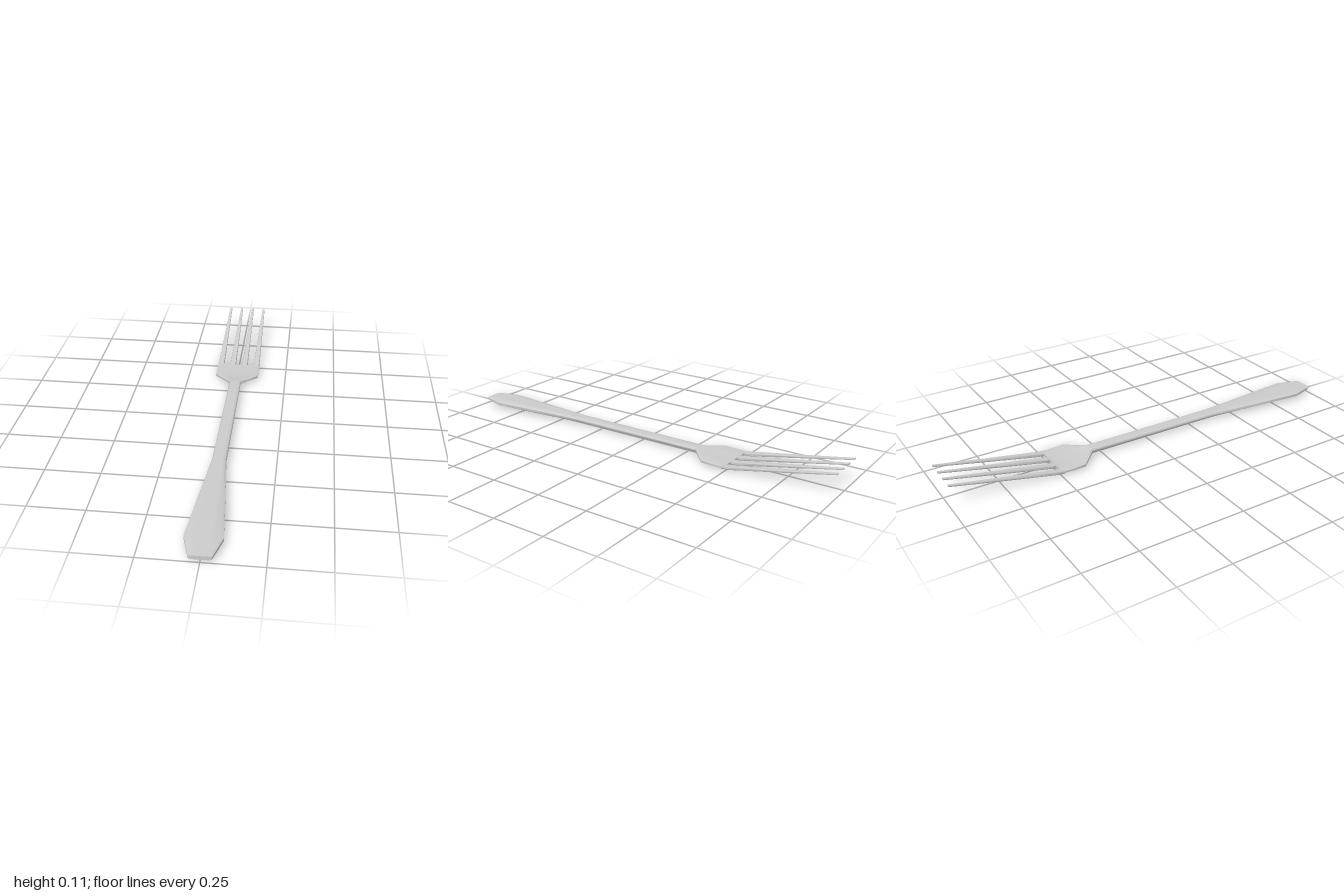
import * as THREE from 'three';
import { toCreasedNormals } from 'three/addons/utils/BufferGeometryUtils.js';

// Bevelled cross-section outline: x as a fraction of half width, y as a fraction of half thickness
const OUTLINE = [
  [1, -0.5], [1, 0.5], [0.82, 1], [0.4, 1], [0, 1], [-0.4, 1], [-0.82, 1], [-1, 0.5],
  [-1, -0.5], [-0.82, -1], [-0.4, -1], [0, -1], [0.4, -1], [0.82, -1],
];

// Loft through stations [z, centre x, half width, bottom y, top y, edge lift], running from +z to -z
function loft(name, stations, material) {
  const n = OUTLINE.length;
  const positions = [];
  const index = [];
  for (const [z, cx, hw, y0, y1, lift = 0] of stations) {
    for (const [u, v] of OUTLINE) {
      positions.push(cx + u * hw, (y0 + y1) / 2 + (v * (y1 - y0)) / 2 + lift * u * u, z);
    }
  }
  for (let s = 0; s < stations.length - 1; s++) {
    for (let i = 0; i < n; i++) {
      const a = s * n + i;
      const b = s * n + ((i + 1) % n);
      index.push(a, b, a + n, b, b + n, a + n);
    }
  }
  // end caps
  const last = (stations.length - 1) * n;
  for (let i = 1; i < n - 1; i++) {
    index.push(0, i, i + 1);
    index.push(last, last + i + 1, last + i);
  }
  // wind the walls outward
  for (let k = 0; k < (stations.length - 1) * n * 6; k += 3) {
    [index[k + 1], index[k + 2]] = [index[k + 2], index[k + 1]];
  }
  const geometry = new THREE.BufferGeometry();
  geometry.setAttribute('position', new THREE.Float32BufferAttribute(positions, 3));
  geometry.setIndex(index);
  const mesh = new THREE.Mesh(toCreasedNormals(geometry, 0.9), material);
  mesh.name = name;
  return mesh;
}

export function createModel() {
  const fork = new THREE.Group();
  fork.name = 'fork';
  const metal = new THREE.MeshStandardMaterial({ color: 0xcccccc, side: THREE.DoubleSide });

  // Flared handle and slim neck
  fork.add(loft('handle', [
    [1.0, 0, 0.045, 0.014, 0.032],
    [0.94, 0, 0.063, 0.010, 0.034],
    [0.89, 0, 0.078, 0.010, 0.035],
    [0.62, 0, 0.054, 0.011, 0.035],
    [0.38, 0, 0.031, 0.013, 0.033],
    [-0.3, 0, 0.028, 0.013, 0.033],
  ], metal));

  // Shallow dished head
  fork.add(loft('head', [
    [-0.3, 0, 0.028, 0.013, 0.033],
    [-0.34, 0, 0.067, 0.006, 0.025, 0.002],
    [-0.38, 0, 0.108, 0.001, 0.020, 0.004],
    [-0.44, 0, 0.109, 0.000, 0.017, 0.004],
    [-0.495, 0, 0.107, 0.004, 0.019, 0.002],
  ], metal));

  // Four tapering tines, rising to the tip
  const tines = new THREE.Group();
  tines.name = 'tines';
  for (const x of [-0.093, -0.031, 0.031, 0.093]) {
    tines.add(loft('tine', [
      [-0.48, x, 0.0145, 0.004, 0.019],
      [-0.52, x, 0.0145, 0.008, 0.023],
      [-0.76, x, 0.0105, 0.056, 0.067],
      [-1.0, x, 0.006, 0.105, 0.112],
    ], metal));
  }
  fork.add(tines);
  return fork;
}
